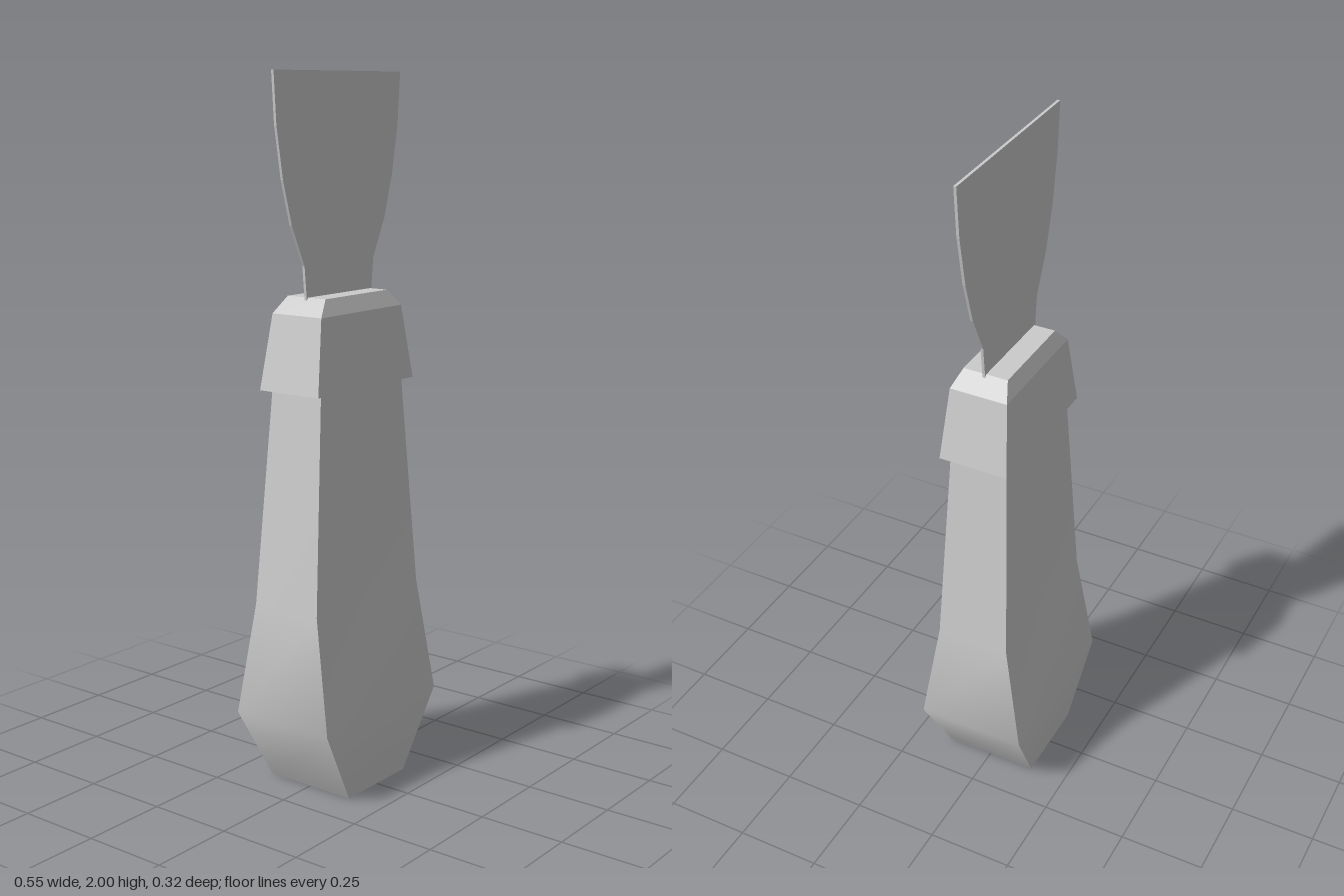
import * as THREE from 'three';

const CORNERS = [[1, 1], [1, -1], [-1, -1], [-1, 1]];

// Closed rectangular loft through rings of [y, halfWidth, halfDepth].
// Sides shade smoothly along the length; corners and caps stay sharp.
function rectLoft(rings) {
  const pos = [], idx = [];
  const corner = ([y, hx, hz], k) => {
    const [sx, sz] = CORNERS[k % 4];
    return [sx * hx, y, sz * hz];
  };
  for (let k = 0; k < 4; k++) {
    const base = pos.length / 3;
    rings.forEach((ring) => pos.push(...corner(ring, k), ...corner(ring, k + 1)));
    for (let i = 0; i < rings.length - 1; i++) {
      const a = base + 2 * i;
      idx.push(a, a + 1, a + 3, a, a + 3, a + 2);
    }
  }
  for (const [ring, top] of [[rings[0], false], [rings[rings.length - 1], true]]) {
    const b = pos.length / 3;
    for (let k = 0; k < 4; k++) pos.push(...corner(ring, k));
    idx.push(...(top ? [b, b + 1, b + 2, b, b + 2, b + 3] : [b, b + 2, b + 1, b, b + 3, b + 2]));
  }
  const geo = new THREE.BufferGeometry();
  geo.setAttribute('position', new THREE.Float32BufferAttribute(pos, 3));
  geo.setIndex(idx);
  geo.computeVertexNormals();
  return geo;
}

export function createModel() {
  const group = new THREE.Group();
  const add = (name, geo, flatShading = false) => {
    const mesh = new THREE.Mesh(geo, new THREE.MeshStandardMaterial({ color: 0xcccccc, flatShading }));
    mesh.name = name;
    group.add(mesh);
  };

  // Tapered grip, swelling towards the butt
  add('handle', rectLoft([
    [0, 0.13, 0.14], [0.225, 0.255, 0.161], [0.55, 0.233, 0.108], [1.16, 0.182, 0.084],
  ]));

  // Collar with a bevelled top
  add('ferrule', rectLoft([
    [1.152, 0.215, 0.101], [1.36, 0.18, 0.084], [1.405, 0.138, 0.065],
  ]), true);

  // Thin flared blade, mirrored left to right
  const half = [[0.145, 1.39], [0.145, 1.41], [0.153, 1.49], [0.205, 1.6], [0.24, 1.72], [0.265, 1.86], [0.275, 2]];
  const outline = [...half, ...half.map(([x, y]) => [-x, y]).reverse()];
  const shape = new THREE.Shape(outline.map(([x, y]) => new THREE.Vector2(x, y)));
  const blade = new THREE.ExtrudeGeometry(shape, { depth: 0.008, bevelEnabled: false });
  blade.translate(0, 0, -0.002);
  add('blade', blade);

  return group;
}
